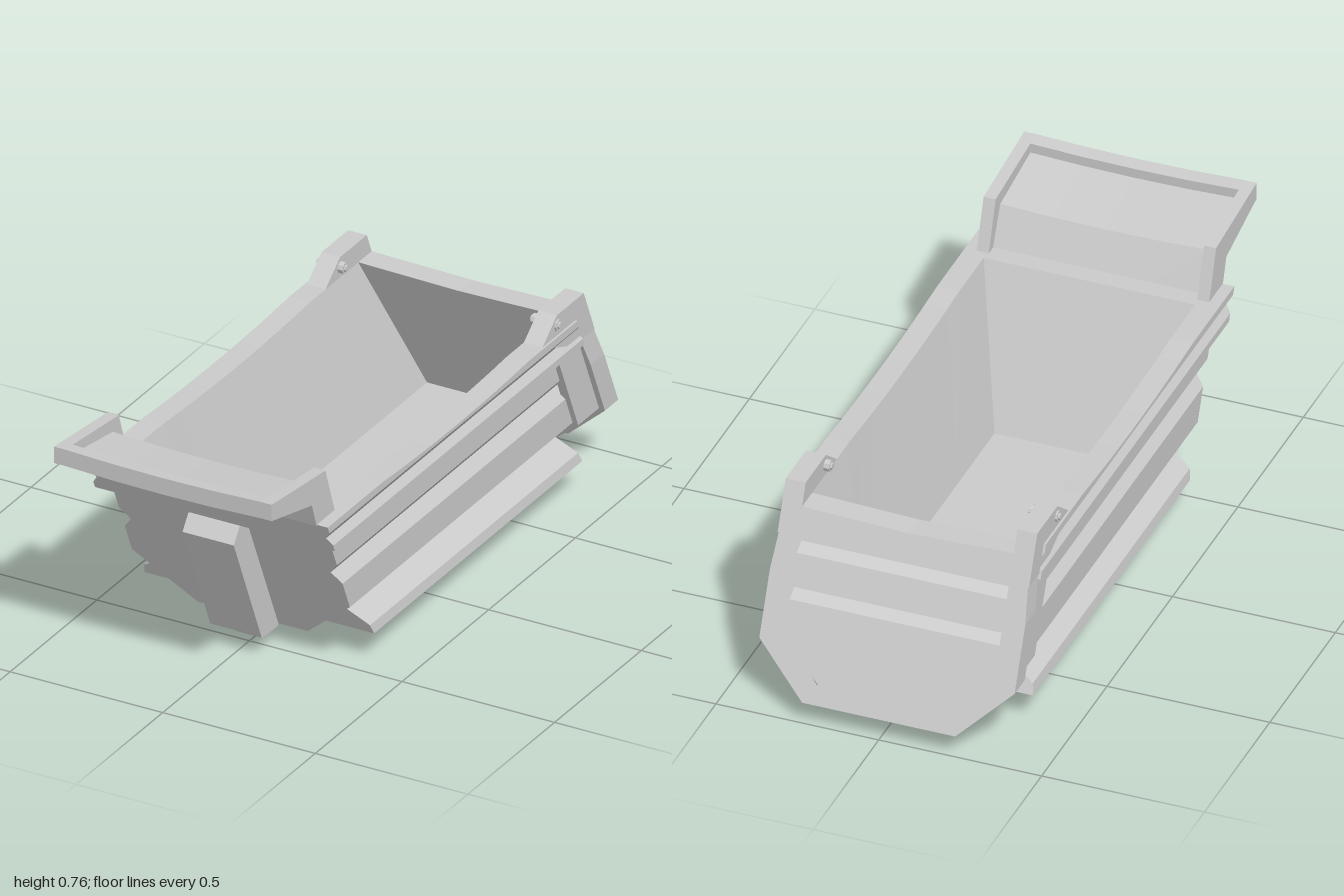
import * as THREE from 'three';

const SHEAR = 0.44; // every cross-section leans forward by this much per unit of height
const metal = new THREE.MeshStandardMaterial({ color: 0xcccccc, flatShading: true });

const mirrorX = (pts) => pts.map(([x, y]) => [-x, y]);
// Closes a right-hand half outline (listed top to bottom) with its mirror image.
const both = (half) => [...half, ...mirrorX(half).reverse()];
const toShape = (pts) => new THREE.Shape(pts.map(([a, b]) => new THREE.Vector2(a, b)));

export function createModel() {
  const model = new THREE.Group();
  model.name = 'dumpBed';

  function add(name, geometry) {
    const mesh = new THREE.Mesh(geometry, metal);
    mesh.name = name;
    model.add(mesh);
    return mesh;
  }

  function warp(geometry, rule) {
    const p = geometry.attributes.position;
    const v = new THREE.Vector3();
    for (let i = 0; i < p.count; i++) {
      rule(v.fromBufferAttribute(p, i));
      p.setXYZ(i, v.x, v.y, v.z);
    }
    geometry.computeVertexNormals();
    return geometry;
  }

  // Worn, slightly sagging upper edge
  const sag = (v) => {
    if (v.y > 0.56) v.y -= 0.013 * Math.max(0, 1 - (v.z / 0.42) ** 2);
  };

  // Cross-section (x, y) run along z between two leaning planes
  function leaning(name, pts, back, front, { hole, steps = 1 } = {}) {
    const shape = toShape(pts);
    if (hole) shape.holes.push(toShape(hole));
    const g = new THREE.ExtrudeGeometry(shape, { depth: front - back, steps, bevelEnabled: false });
    g.translate(0, 0, back);
    return add(name, warp(g, (v) => {
      v.z += SHEAR * v.y;
      if (steps > 1) sag(v);
    }));
  }

  // Side profile (z, y) run across x
  function across(name, pts, x0, x1, steps = 1) {
    const g = new THREE.ExtrudeGeometry(toShape(pts), { depth: x1 - x0, steps, bevelEnabled: false });
    g.rotateY(-Math.PI / 2).translate(x1, 0, 0);
    return add(name, g);
  }

  // Tub: folded side walls, floor and front wall
  const outer = [[0.357, 0.58], [0.357, 0.395], [0.327, 0.357], [0.357, 0.32], [0.357, 0.225], [0.18, 0.07]];
  const inner = [[0.325, 0.58], [0.212, 0.13]];
  leaning('tub', [...both(outer), ...mirrorX(inner), ...[...inner].reverse()], -0.955, 0.355, { steps: 14 });
  leaning('frontWall', both(outer), 0.355, 0.45);

  // Grooved rail around the top
  const rail = [[0.393, 0.58], [0.393, 0.557], [0.376, 0.532], [0.393, 0.507], [0.393, 0.485]];
  leaning('frontRail', both(rail), 0.356, 0.485);
  const sideRail = [[0.34, 0.58], ...rail, [0.34, 0.485]];
  leaning('leftRail', sideRail, -0.955, 0.356, { steps: 14 });
  leaning('rightRail', mirrorX(sideRail), -0.955, 0.356, { steps: 14 });

  // Lower side skirts
  const skirt = [[0.29, 0.175], [0.302, 0.175], [0.37, 0.127], [0.376, 0.096], [0.2, 0.096]];
  leaning('leftSkirt', skirt, -0.8, 0.4);
  leaning('rightSkirt', mirrorX(skirt), -0.8, 0.4);

  // Centre post on the front wall
  across('frontPost', [[0.46, 0.07], [0.578, 0.07], [0.738, 0.44], [0.705, 0.485], [0.64, 0.485]], -0.084, 0.084);

  // Collar just ahead of the tailgate
  const collar = [[0.345, 0.485], [0.374, 0.485], [0.374, 0.22], [0.205, 0.071], [0.17, 0.071], [0.345, 0.225]];
  leaning('leftCollar', collar, -0.955, -0.835);
  leaning('rightCollar', mirrorX(collar), -0.955, -0.835);

  // Tailgate frame, recessed panel and ribs
  const gate = [[0, 0.572], [0.32, 0.58], [0.375, 0.58], [0.392, 0.4], [0.392, 0.215], [0.235, 0.07]];
  const opening = [[0.325, 0.5], [0.325, 0.26], [0.2, 0.125]];
  leaning('tailgateFrame', [...gate, ...mirrorX(gate.slice(1)).reverse()], -1.032, -0.955, { hole: both(opening) });
  const panel = [[0.35, 0.53], [0.35, 0.25], [0.21, 0.1]];
  leaning('tailgatePanel', both(panel), -0.985, -0.956);
  for (const y of [0.425, 0.3]) {
    const onGate = (c, h) => [c + SHEAR * h, h];
    across('tailgateRib', [onGate(-0.98, y - 0.035), onGate(-0.98, y + 0.045),
      onGate(-1.01, y + 0.02), onGate(-1.01, y - 0.03)], -0.326, 0.326);
  }

  // Hinge ears with pins
  const ear = [[-0.505, 0.575], [-0.595, 0.645], [-0.749, 0.645], [-0.812, 0.5], [-0.7, 0.5]];
  for (const s of [1, -1]) {
    const side = s > 0 ? 'left' : 'right';
    across(side + 'HingeEar', ear, s > 0 ? 0.325 : -0.386, s > 0 ? 0.386 : -0.325);
    for (const [radius, length] of [[0.018, 0.084], [0.011, 0.096]]) {
      const pin = add(side + 'HingePin', new THREE.CylinderGeometry(radius, radius, length, 8).rotateZ(Math.PI / 2));
      pin.position.set(s * 0.35, 0.613, -0.597);
    }
  }

  // Front canopy: a shallow tray with raised rims
  const canopySide = [[1, 0.765], [0.69, 0.732], [0.635, 0.575], [0.74, 0.575], [0.768, 0.655], [1, 0.712]];
  across('leftCanopyRim', canopySide, 0.32, 0.357);
  across('rightCanopyRim', canopySide, -0.357, -0.32);
  const tray = across('canopyTray', [[1, 0.765], [0.955, 0.76], [0.955, 0.73], [0.725, 0.695], [0.668, 0.575],
    [0.74, 0.575], [0.768, 0.655], [1, 0.712]], -0.32, 0.32, 4);
  warp(tray.geometry, (v) => {
    if (v.y > 0.6) v.y -= 0.008 * (1 - (v.x / 0.32) ** 2);
  });

  // Lift ram under the floor
  across('frontRamMount', [[0.58, 0.075], [0.495, 0.018], [0.41, 0.018], [0.41, 0.075]], -0.042, 0.042);
  across('rearRamMount', [[-0.7, 0.075], [-0.7, 0.012], [-0.795, 0.012], [-0.86, 0.075]], -0.042, 0.042);
  const rods = [['ramRod', 0.018, 0.42, -0.1, 0.045], ['ramBarrel', 0.027, -0.15, -0.71, 0.045], ['ramCollar', 0.05, -0.09, -0.18, 0.044]];
  for (const [name, r, z0, z1, y] of rods) {
    const rod = add(name, new THREE.CylinderGeometry(r, r, z0 - z1, 6).rotateX(Math.PI / 2));
    rod.position.set(0, y, (z0 + z1) / 2);
    if (name === 'ramCollar') rod.scale.set(1.15, 0.88, 1);
  }
  return model;
}
